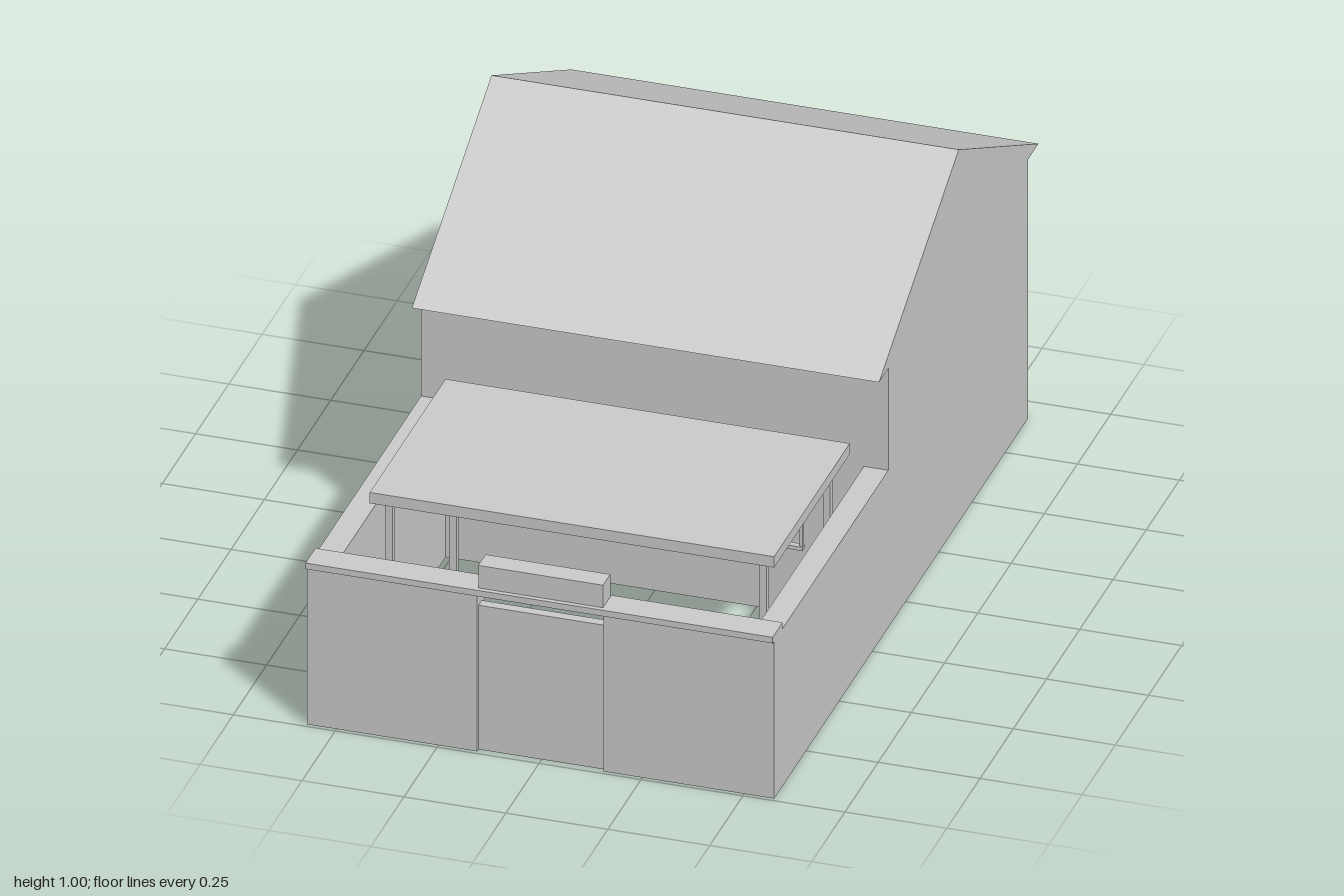
import * as THREE from 'three';

export function createModel() {
  const root = new THREE.Group();
  root.name = 'courtyardHouse';
  const grey = new THREE.MeshStandardMaterial({ color: 0xcccccc });
  grey.name = 'plainGrey';

  // Box given by its min and max along each axis
  function box(name, x0, x1, y0, y1, z0, z1, parent = root) {
    const mesh = new THREE.Mesh(new THREE.BoxGeometry(x1 - x0, y1 - y0, z1 - z0), grey);
    mesh.position.set((x0 + x1) / 2, (y0 + y1) / 2, (z0 + z1) / 2);
    mesh.name = name;
    parent.add(mesh);
    return mesh;
  }

  const W = 0.573; // half width of the whole building

  // House body and gable roof, one side profile swept along x
  const profile = new THREE.Shape();
  [[-0.13, 0], [0.92, 0], [0.92, 0.692], [1.0, 0.692], [0.4, 0.995], [-0.2, 0.692], [-0.13, 0.692]]
    .forEach(([u, v], i) => (i ? profile.lineTo(u, v) : profile.moveTo(u, v)));
  const houseGeo = new THREE.ExtrudeGeometry(profile, { depth: W * 2, bevelEnabled: false });
  houseGeo.rotateY(Math.PI / 2); // profile u becomes -z
  houseGeo.translate(-W, 0, 0);
  const house = new THREE.Mesh(houseGeo, grey);
  house.name = 'houseAndRoof';
  root.add(house);

  // Courtyard walls, open to ground and sky, with a gateway at the front
  for (const s of [-1, 1]) {
    const side = s < 0 ? 'right' : 'left';
    box(side + 'YardWall', s < 0 ? -W : 0.513, s < 0 ? -0.513 : W, 0, 0.42, 0.13, 0.99);
    box(side + 'FrontWall', s < 0 ? -0.513 : 0.155, s < 0 ? -0.155 : 0.513, 0, 0.42, 0.93, 0.99);
  }
  box('gate', -0.155, 0.155, 0, 0.385, 0.955, 0.98);
  box('frontWallCap', -W, W, 0.42, 0.436, 0.925, 1.0);
  box('gateSignBlock', -0.153, 0.153, 0.436, 0.496, 0.933, 0.988);

  // Canopy on four posts
  const canopy = new THREE.Group();
  canopy.name = 'canopy';
  root.add(canopy);
  box('canopySlab', -0.497, 0.495, 0.476, 0.505, 0.18, 0.75, canopy);
  for (const x of [-0.46, 0.457])
    for (const z of [0.23, 0.71])
      box('canopyPost', x - 0.009, x + 0.009, 0, 0.476, z - 0.009, z + 0.009, canopy);

  // Window on the house front
  box('houseWindow', -0.365, -0.175, 0.2, 0.451, 0.13, 0.145);

  // Barred window guard on the house front
  const guard = new THREE.Group();
  guard.name = 'windowGuard';
  root.add(guard);
  box('guardTopRail', 0.155, 0.375, 0.43, 0.44, 0.152, 0.168, guard);
  box('guardBottomRail', 0.155, 0.375, 0.19, 0.2, 0.152, 0.168, guard);
  for (let i = 0; i < 6; i++) {
    const x = 0.16 + i * 0.042;
    box('guardBar', x - 0.004, x + 0.004, 0.2, 0.43, 0.156, 0.164, guard);
  }
  return root;
}
